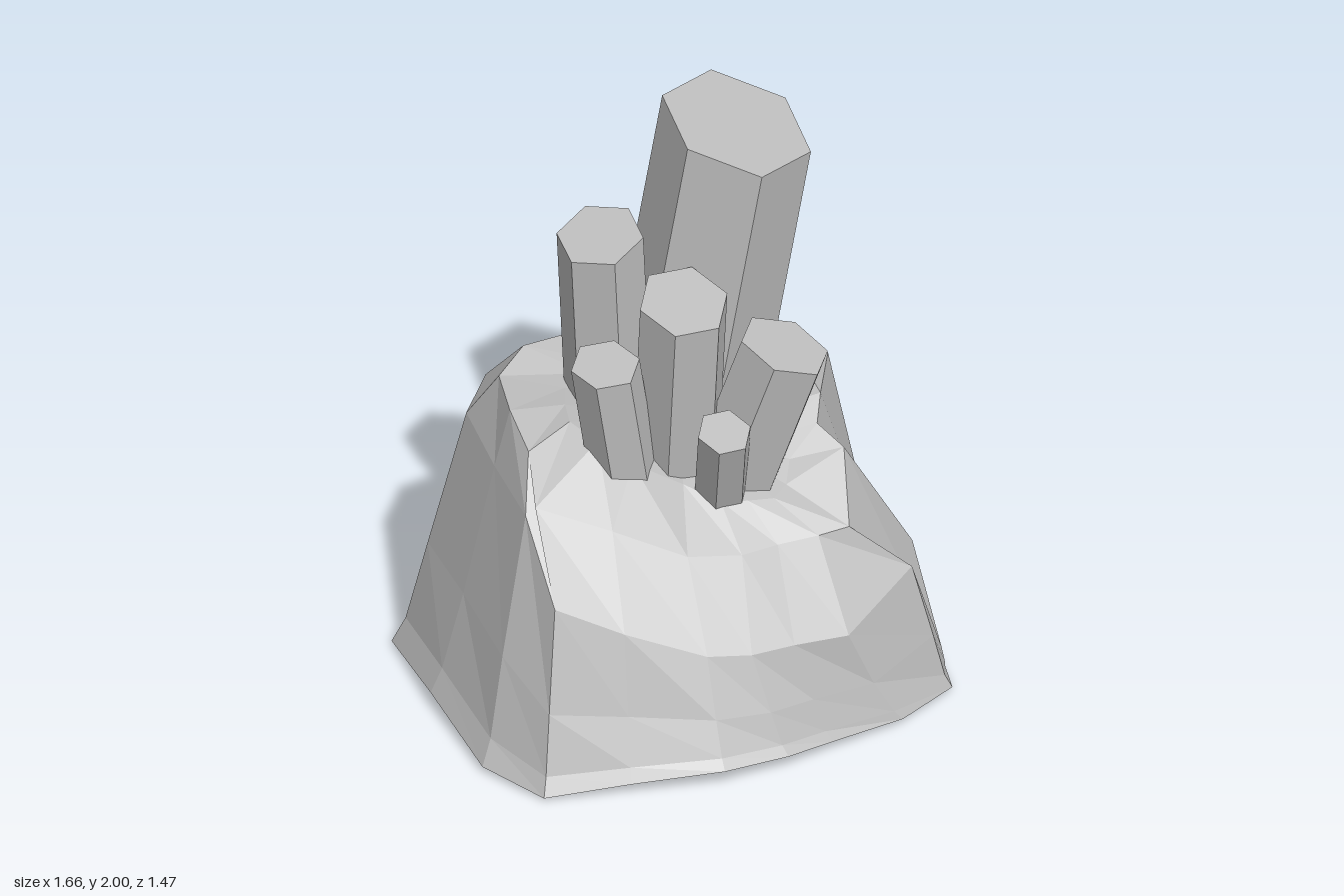
import * as THREE from 'three';

// Cross-sections of the hollow mound, one [x, y, z] per column, from the back left corner round by the back
const RIM = [
  [-0.83, 0.01, -0.44], [-0.58, 0, -0.68], [-0.2, 0, -0.71], [0.22, 0, -0.735], [0.46, 0.01, -0.7], [0.7, 0.02, -0.62],
  [0.81, 0.03, -0.47], [0.825, 0.05, -0.2], [0.83, 0.05, 0.05], [0.8, 0.02, 0.35], [0.79, 0.01, 0.43], [0.57, 0.02, 0.57],
  [0.3, 0.04, 0.65], [0.13, 0.05, 0.7], [-0.1, 0.06, 0.73], [-0.4, 0.04, 0.67], [-0.68, 0.01, 0.61], [-0.81, 0.02, 0.38],
  [-0.835, 0.05, -0.05],
];
// Foot of each crag; the low points on the right are the tips of the clefts
const SHOULDER = [
  [-0.58, 0.85, -0.42], [-0.46, 0.88, -0.57], [-0.18, 0.87, -0.64], [0.1, 0.9, -0.65], [0.3, 0.9, -0.63], [0.5, 0.7, -0.59],
  [0.64, 0.86, -0.35], [0.74, 0.22, -0.2], [0.77, 0.38, 0.1], [0.785, 0.11, 0.34], [0.665, 0.48, 0.39], [0.39, 0.37, 0.55],
  [0.2, 0.38, 0.56], [0.05, 0.38, 0.57], [-0.1, 0.4, 0.56], [-0.36, 0.5, 0.49], [-0.575, 0.6, 0.42], [-0.59, 0.82, 0.18],
  [-0.59, 0.83, -0.12],
];
const CREST = [
  [-0.5, 1.03, -0.33], [-0.38, 1.06, -0.43], [-0.2, 1.04, -0.48], [0.08, 1.04, -0.54], [0.25, 1.05, -0.56], [0.4, 1.03, -0.47],
  [0.49, 0.97, -0.32], [0.5, 0.93, -0.03], [0.46, 0.87, 0.05], [0.52, 0.82, 0.14], [0.46, 0.66, 0.36], [0.35, 0.655, 0.37],
  [0.21, 0.65, 0.37], [0.08, 0.65, 0.39], [-0.1, 0.67, 0.37], [-0.33, 0.77, 0.29], [-0.56, 0.85, 0.19], [-0.53, 0.97, 0.04],
  [-0.53, 1.02, -0.14],
];
const HOLLOW = [
  [-0.3, 0.99, -0.25], [-0.2, 0.98, -0.32], [-0.08, 0.97, -0.35], [0.06, 0.97, -0.38], [0.2, 0.98, -0.38], [0.3, 0.98, -0.32],
  [0.35, 0.96, -0.24], [0.34, 0.9, -0.04], [0.34, 0.85, 0.04], [0.34, 0.8, 0.12], [0.3, 0.76, 0.2], [0.24, 0.75, 0.25],
  [0.15, 0.76, 0.25], [0.06, 0.77, 0.24], [-0.04, 0.81, 0.16], [-0.2, 0.9, 0.12], [-0.3, 0.97, 0.06], [-0.36, 1.0, -0.04],
  [-0.34, 1.0, -0.14],
];
const CENTRE = [0.02, 0.9, -0.08];

function createMound(material) {
  let seed = 11;
  const random = () => (seed = (seed * 16807) % 2147483647) / 2147483647;
  const n = RIM.length;

  // Wall rings between rim and shoulder, flared at the foot and slightly craggy
  const wall = (s, t, rough) => RIM.map((p, i) => {
    const q = SHOULDER[i];
    const k = 1 + (random() - 0.5) * rough;
    return [(p[0] + (q[0] - p[0]) * s) * k, p[1] + (q[1] - p[1]) * t, (p[2] + (q[2] - p[2]) * s) * k];
  });
  const rings = [RIM, wall(0.17, 0.1, 0.01), wall(0.5, 0.43, 0.02), SHOULDER, CREST, HOLLOW];

  const index = [];
  const last = rings.length - 1;
  for (let r = 0; r < last; r++) {
    for (let i = 0; i < n; i++) {
      const a = r * n + i, b = r * n + ((i + 1) % n);
      index.push(a, b + n, b, a, a + n, b + n);
    }
  }
  for (let i = 0; i < n; i++) index.push(last * n + i, rings.length * n, last * n + ((i + 1) % n));

  const geometry = new THREE.BufferGeometry();
  geometry.setAttribute('position', new THREE.Float32BufferAttribute([...rings.flat(2), ...CENTRE], 3));
  geometry.setIndex(index);
  geometry.computeVertexNormals();
  const mesh = new THREE.Mesh(geometry, material);
  mesh.name = 'rockMound';
  return mesh;
}

// Leaning hexagonal column: lean is sideways drift per unit height, slope is the fall of the cut top
function createCrystal(name, material, { top, radius, turn, baseY, lean, slope }) {
  const geometry = new THREE.CylinderGeometry(radius, radius, 1, 6, 1, false, turn);
  const pos = geometry.attributes.position;
  for (let i = 0; i < pos.count; i++) {
    const x = pos.getX(i), z = pos.getZ(i);
    const cut = -slope[0] * x - slope[1] * z;
    const y = (pos.getY(i) > 0 ? top[1] : baseY) + cut;
    const drop = top[1] + cut - y;
    pos.setXYZ(i, top[0] + x - lean[0] * drop, y, top[2] + z - lean[1] * drop);
  }
  geometry.computeVertexNormals();
  const mesh = new THREE.Mesh(geometry, material);
  mesh.name = name;
  return mesh;
}

export function createModel() {
  const stone = new THREE.MeshStandardMaterial({ color: 0xbcbcbc, flatShading: true, side: THREE.DoubleSide });
  stone.name = 'grey stone';

  const model = new THREE.Group();
  model.name = 'crystalRock';
  model.add(createMound(stone));

  const crystals = {
    tallCrystal: { top: [0.27, 1.92, -0.195], radius: 0.245, turn: 0, baseY: 0.46, lean: [0.15, 0.06], slope: [0.24, 0.24] },
    backCrystal: { top: [-0.2, 1.59, -0.195], radius: 0.143, turn: 0, baseY: 0.6, lean: [-0.06, 0.05], slope: [-0.17, 0.18] },
    sideCrystal: { top: [-0.28, 1.275, 0.08], radius: 0.115, turn: 0.45, baseY: 0.65, lean: [-0.16, 0.05], slope: [-0.05, 0.2] },
    middleCrystal: { top: [-0.01, 1.46, 0.08], radius: 0.15, turn: Math.PI / 6, baseY: 0.6, lean: [0, 0.12], slope: [0, 0.3] },
    leaningCrystal: { top: [0.3, 1.285, 0.185], radius: 0.146, turn: 0.47, baseY: 0.62, lean: [0.27, 0.2], slope: [0.3, 0.2] },
    smallCrystal: { top: [0.055, 1.07, 0.29], radius: 0.09, turn: Math.PI / 6, baseY: 0.66, lean: [-0.1, 0.4], slope: [-0.03, 0.35] },
  };
  for (const [name, spec] of Object.entries(crystals)) model.add(createCrystal(name, stone, spec));
  return model;
}
